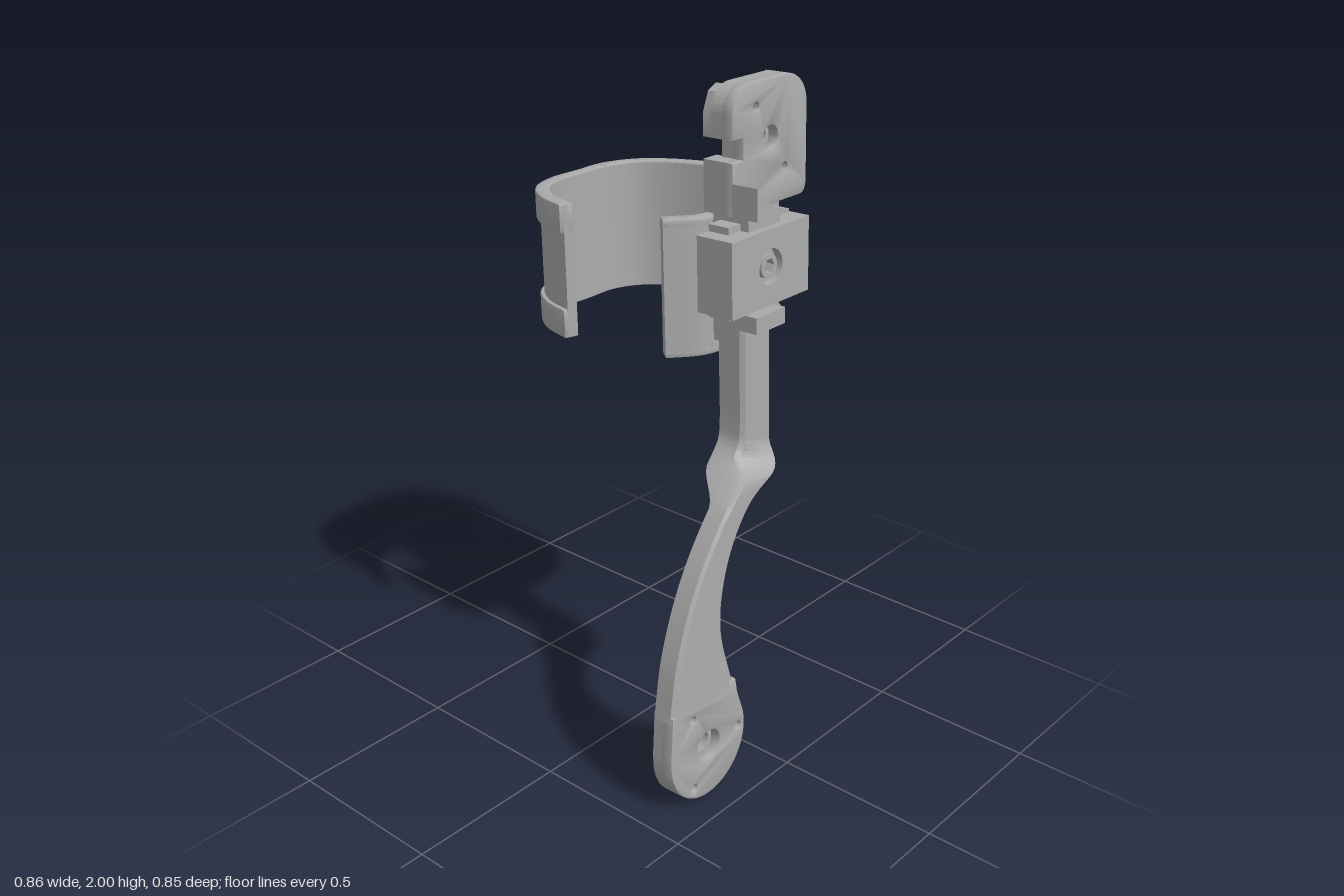
import * as THREE from 'three';
import { toCreasedNormals } from 'three/addons/utils/BufferGeometryUtils.js';

const grey = new THREE.MeshStandardMaterial({ color: 0xaaaaaa });
grey.name = 'plain grey';

const V2 = (x, y) => new THREE.Vector2(x, y);
const smooth = (v, a, b) => THREE.MathUtils.smoothstep(v, a, b);

function add(parent, name, geometry) {
  const m = new THREE.Mesh(toCreasedNormals(geometry, 0.55), grey);
  m.name = name;
  parent.add(m);
  return m;
}

// Box given by its limits
function box(parent, name, x0, x1, y0, y1, z0, z1) {
  const g = new THREE.BoxGeometry(x1 - x0, y1 - y0, z1 - z0);
  g.translate((x0 + x1) / 2, (y0 + y1) / 2, (z0 + z1) / 2);
  return add(parent, name, g);
}

// Flat plate in xy between two depths, with round holes [x, y, r, start angle, sides]
function plate(parent, name, points, holes, z0, z1, bevel = 0) {
  const shape = Array.isArray(points) ? new THREE.Shape(points) : points.clone();
  for (const [x, y, r, sides = 28] of holes) {
    const ring = [];
    for (let i = 0; i < sides; i++) {
      const a = (-i / sides) * Math.PI * 2;
      ring.push(V2(x + r * Math.cos(a), y + r * Math.sin(a)));
    }
    shape.holes.push(new THREE.Path(ring));
  }
  const g = new THREE.ExtrudeGeometry(shape, {
    depth: z1 - z0 - 2 * bevel, bevelEnabled: bevel > 0, bevelSize: bevel,
    bevelThickness: bevel, bevelOffset: -bevel, bevelSegments: 2, curveSegments: 16,
  });
  g.translate(0, 0, z0 + bevel);
  return add(parent, name, g);
}

// Plan of the cuff's outer wall (x, z), from the rear tip round to the front tip
const cuffPath = new THREE.CatmullRomCurve3([
  [-0.207, -0.19], [-0.172, -0.3], [-0.105, -0.385], [-0.01, -0.423], [0.1, -0.424],
  [0.21, -0.423], [0.31, -0.375], [0.38, -0.275], [0.427, -0.1], [0.41, 0.035],
  [0.36, 0.14], [0.295, 0.2], [0.2, 0.222], [0.0, 0.222], [-0.07, 0.205], [-0.15, 0.14],
].map(([x, z]) => new THREE.Vector3(x, 0, z)));

// Part of the cuff wall: stretch u0..u1 of the path, inset d0..d1, height y0..y1
function cuffWall(parent, name, u0, u1, d0, d1, y0, y1, bevel = 0) {
  const outer = [], inner = [], n = Math.ceil(90 * (u1 - u0));
  for (let i = 0; i <= n; i++) {
    const u = u0 + ((u1 - u0) * i) / n;
    const p = cuffPath.getPointAt(u), t = cuffPath.getTangentAt(u);
    outer.push(V2(p.x - t.z * d0, -(p.z + t.x * d0)));
    inner.unshift(V2(p.x - t.z * d1, -(p.z + t.x * d1)));
  }
  const g = new THREE.ExtrudeGeometry(new THREE.Shape([...outer, ...inner]), {
    depth: y1 - y0 - 2 * bevel, bevelEnabled: bevel > 0, bevelSize: bevel,
    bevelThickness: bevel, bevelOffset: -bevel, bevelSegments: 2,
  });
  g.rotateX(-Math.PI / 2);
  g.translate(0, y0 + bevel, 0);
  add(parent, name, g);
}

function buildCuff(parent) {
  const cuff = new THREE.Group();
  cuff.name = 'cuff';
  const y0 = 1.258, y1 = 1.652;
  cuffWall(cuff, 'cuffShell', 0, 1, 0.012, 0.042, y0 + 0.004, y1 - 0.004);
  cuffWall(cuff, 'cuffFrontWall', 0.78, 1, 0, 0.03, y0 + 0.01, y1 - 0.01);
  // Raised rims, narrow on the side and wide across the back
  for (const [u0, u1, h] of [[0.3, 1, 0.026], [0, 0.3, 0.085]]) {
    cuffWall(cuff, 'lowerRim', u0, u1, 0, 0.04, y0, y0 + h, 0.005);
    cuffWall(cuff, 'upperRim', u0, u1, 0, 0.04, y1 - h, y1, 0.005);
  }
  parent.add(cuff);
}

// Lever: a grooved section swept between a left and a right edge
function buildLever(parent) {
  const lever = new THREE.Group();
  lever.name = 'lever';
  const edge = (pts) => new THREE.CatmullRomCurve3(pts.map(([x, y]) => new THREE.Vector3(x, y, 0)));
  const low = edge([[-0.035, 1.43], [-0.035, 1.2], [-0.035, 1.06], [-0.042, 1.01], [-0.075, 0.965],
    [-0.2, 0.835], [-0.307, 0.68], [-0.386, 0.49], [-0.423, 0.307]]);
  const high = edge([[0.09, 1.43], [0.09, 1.2], [0.09, 1.04], [0.09, 0.97], [0.065, 0.932],
    [-0.07, 0.862], [-0.165, 0.72], [-0.199, 0.52], [-0.148, 0.307]]);
  const section = [[0, 0], [0, 0.85], [0.08, 1], [0.92, 1], [1, 0.85], [1, 0],
    [0.84, 0], [0.84, 0.5], [0.16, 0.5], [0.16, 0]];
  const n = 80, k = section.length, pos = [], index = [];
  for (let i = 0; i <= n; i++) {
    const a = low.getPoint(i / n), b = high.getPoint(i / n);
    for (const [t, d] of section) {
      const p = a.clone().lerp(b, t);
      const front = 0.377 - 0.057 * smooth(p.y, 0.91, 0.99);
      const back = 0.31 - 0.075 * smooth(p.y, 0.86, 0.95);
      pos.push(p.x, p.y, back + (front - back) * d);
    }
    if (i === n) break;
    for (let j = 0; j < k; j++) {
      const p = i * k + j, q = i * k + ((j + 1) % k);
      index.push(p, p + k, q + k, p, q + k, q);
    }
  }
  const g = new THREE.BufferGeometry();
  g.setAttribute('position', new THREE.Float32BufferAttribute(pos, 3));
  g.setIndex(index);
  add(lever, 'leverArm', g);

  // Round paddle at the foot of the lever
  const cx = -0.267, cy = 0.163, r = 0.163;
  const outline = new THREE.Shape();
  outline.moveTo(-0.142, 0.325);
  outline.lineTo(-0.419, 0.325);
  outline.lineTo(cx - r, cy + 0.03);
  outline.absarc(cx, cy, r, Math.PI, Math.PI * 2.1, false);
  outline.lineTo(-0.135, 0.28);
  const pins = [60, 180, 300].map((d) => {
    const a = THREE.MathUtils.degToRad(d + 60);
    return [cx + 0.132 * Math.cos(a), cy + 0.132 * Math.sin(a), 0.013, 16];
  });
  plate(lever, 'paddleFront', outline, [[cx, cy, 0.048], ...pins], 0.335, 0.377, 0.006);
  plate(lever, 'paddleBack', outline, [[cx, cy, 0.033]], 0.308, 0.345);
  const disc = new THREE.Shape().absarc(cx, cy, 0.118, 0, Math.PI * 2, false);
  plate(lever, 'paddleDisc', disc, [[cx, cy, 0.033]], 0.297, 0.312);
  box(lever, 'leverLip', -0.035, 0.09, 1.345, 1.392, 0.29, 0.367);
  parent.add(lever);
}

function buildClamp(parent) {
  const clamp = new THREE.Group();
  clamp.name = 'clamp';
  const x0 = -0.137, x1 = 0.195, y0 = 1.413, y1 = 1.626;
  const face = [V2(x0, y0), V2(x1, y0), V2(x1, y1), V2(x0, y1)];
  plate(clamp, 'clampFace', face, [[0.028, 1.522, 0.05]], 0.34, 0.366);
  plate(clamp, 'clampPlate', face, [[0.028, 1.522, 0.024, 6]], 0.31, 0.341);
  const collar = new THREE.Shape().absarc(0.028, 1.522, 0.034, 0, Math.PI * 2, false);
  plate(clamp, 'boltHead', collar, [[0.028, 1.522, 0.022, 6]], 0.335, 0.36);
  box(clamp, 'clampSide', x0, x0 + 0.05, y0, y1, 0.247, 0.312);
  box(clamp, 'clampSide', x1 - 0.05, x1, y0, y1, 0.247, 0.312);
  box(clamp, 'slider', -0.085, 0.145, 1.385, 1.645, 0.245, 0.312);
  box(clamp, 'sliderNeck', -0.035, 0.1, 1.3, 1.64, 0.2, 0.25);
  parent.add(clamp);
}

function buildBracket(parent) {
  const bracket = new THREE.Group();
  bracket.name = 'bracket';
  const x0 = -0.035, x1 = 0.287, y0 = 1.658, y1 = 2.001;
  const s = new THREE.Shape();
  s.moveTo(x0, y0);
  s.lineTo(x1 - 0.03, y0);
  s.quadraticCurveTo(x1, y0, x1, y0 + 0.04);
  s.lineTo(x1, y1 - 0.09);
  s.absarc(x1 - 0.09, y1 - 0.09, 0.09, 0, Math.PI / 2, false);
  s.lineTo(x0 + 0.075, y1);
  s.absarc(x0 + 0.075, y1 - 0.075, 0.075, Math.PI / 2, Math.PI, false);
  // Side notch
  for (const [x, y] of [[x0, 1.862], [0.01, 1.862], [0.01, 1.802], [x0, 1.802]]) s.lineTo(x, y);
  const small = [[0.065, 1.935, 0.013, 16], [0.19, 1.75, 0.013, 16]];
  plate(bracket, 'bracketFront', s, [[0.127, 1.842, 0.033], ...small], 0.25, 0.287, 0.004);
  plate(bracket, 'bracketCore', s, [[0.127, 1.842, 0.02]], 0.214, 0.254);

  // Rear rails either side of the mounting plate
  const right = new THREE.Shape();
  right.moveTo(0.228, y0);
  right.lineTo(x1 - 0.03, y0);
  right.quadraticCurveTo(x1, y0, x1, y0 + 0.04);
  right.lineTo(x1, y1 - 0.09);
  right.absarc(x1 - 0.09, y1 - 0.09, 0.09, 0, 1.22, false);
  plate(bracket, 'rearRail', right, [], 0.187, 0.216);
  plate(bracket, 'rearRail', [V2(x0, 1.862), V2(0.02, 1.862), V2(0.02, 1.995), V2(-0.012, 1.98),
    V2(x0, 1.925)], [], 0.187, 0.216);
  box(bracket, 'rearRail', x0, 0.02, y0, 1.802, 0.187, 0.216);
  const screws = [];
  for (const x of [0.062, 0.19]) for (const y of [1.745, 1.93]) screws.push([x, y, 0.016, 16]);
  plate(bracket, 'mountingPlate', [V2(0.03, 1.69), V2(0.22, 1.69), V2(0.22, 1.975), V2(0.03, 1.975)],
    [[0.127, 1.842, 0.02], ...screws], 0.203, 0.216);

  // Curved foot standing on the clamp
  const foot = new THREE.Shape();
  foot.moveTo(x0, y0);
  foot.lineTo(0.1, y0);
  foot.lineTo(0.1, 1.667);
  foot.quadraticCurveTo(0.02, 1.68, x0, 1.748);
  plate(bracket, 'bracketFoot', foot, [], 0.28, 0.37);
  box(bracket, 'footStem', x0, 0.1, 1.62, 1.662, 0.22, 0.34);
  parent.add(bracket);
}

export function createModel() {
  const model = new THREE.Group();
  model.name = 'legBraceWithLever';
  // The whole assembly leans back slightly
  const lean = new THREE.Group();
  lean.name = 'leaningAssembly';
  lean.rotation.x = -0.03;
  lean.position.set(0, -0.009, 0.0435);
  buildCuff(lean);
  buildLever(lean);
  buildClamp(lean);
  buildBracket(lean);
  model.add(lean);
  return model;
}
